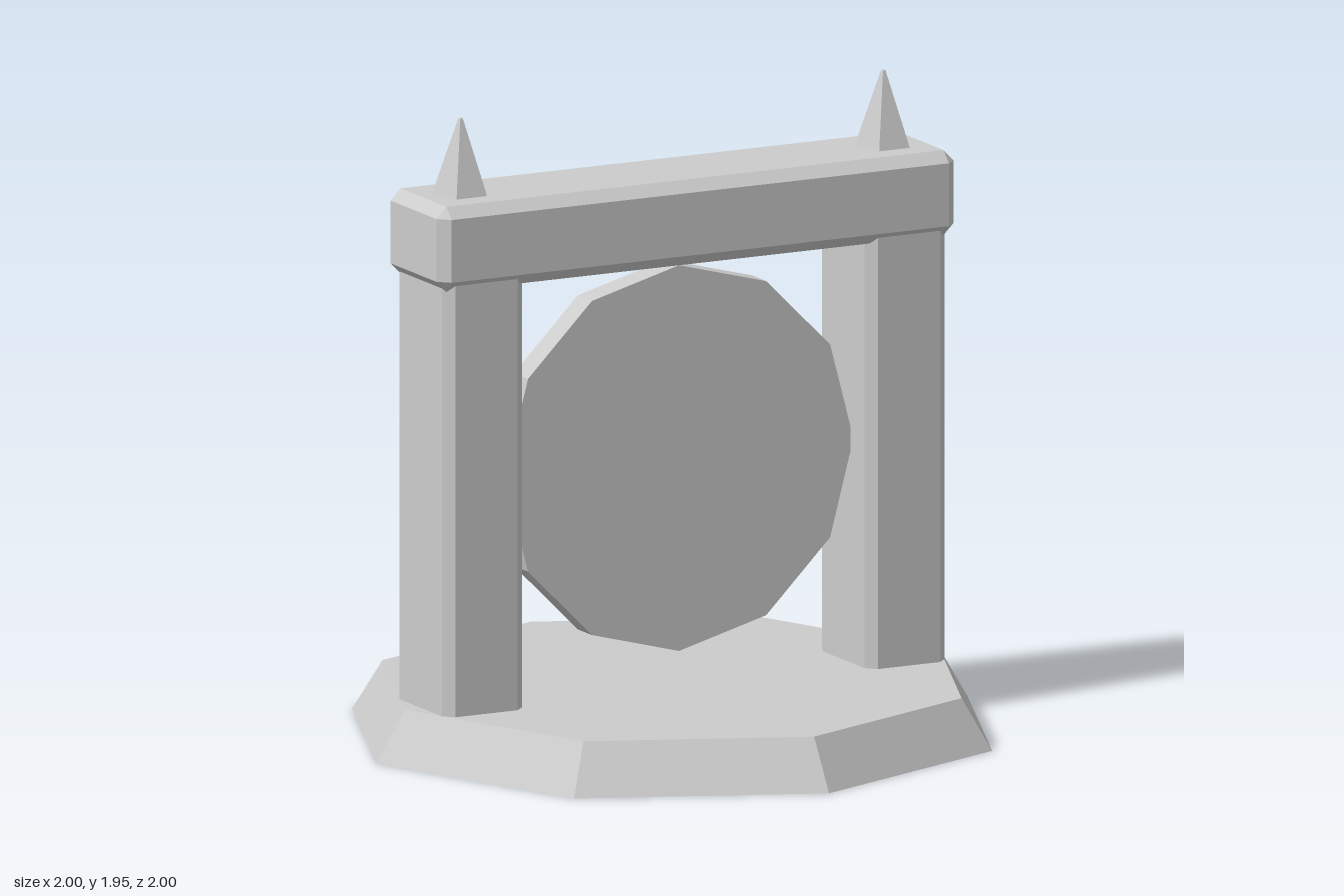
import * as THREE from 'three';
import { ConvexGeometry } from 'three/addons/geometries/ConvexGeometry.js';

const stone = new THREE.MeshStandardMaterial({ color: 0xcccccc, flatShading: true });
stone.name = 'stone';

// Box with every edge and corner cut off flat by c
function chamferedBox(w, h, d, c) {
  const half = [w / 2, h / 2, d / 2];
  const points = [];
  for (const sx of [-1, 1]) for (const sy of [-1, 1]) for (const sz of [-1, 1]) {
    for (let axis = 0; axis < 3; axis++) {
      const p = half.map((v, i) => (i === axis ? v : v - c));
      points.push(new THREE.Vector3(p[0] * sx, p[1] * sy, p[2] * sz));
    }
  }
  return new ConvexGeometry(points);
}

export function createModel() {
  const model = new THREE.Group();
  model.name = 'stoneGateway';

  function add(name, geometry, x, y, z = 0) {
    const mesh = new THREE.Mesh(geometry, stone);
    mesh.name = name;
    mesh.position.set(x, y, z);
    model.add(mesh);
    return mesh;
  }

  // Sloped octagonal plinth
  add('base', new THREE.CylinderGeometry(0.905, 1, 0.155, 8), 0, 0.0775);

  // Pillars run into the plinth and the lintel
  const pillar = chamferedBox(0.27, 1.48, 0.33, 0.03);
  // Five-sided spikes, one corner to the back
  const spike = new THREE.CylinderGeometry(0.007, 0.088, 0.23, 5).rotateY(Math.PI);
  for (const [side, s] of [['left', 1], ['right', -1]]) {
    add(side + 'Pillar', pillar, s * 0.715, 0.84);
    add(side + 'Spike', spike, s * 0.715, 1.83);
  }

  // Crossbeam
  add('lintel', chamferedBox(1.75, 0.26, 0.36, 0.034), 0, 1.585);

  // Twelve-sided disc between the pillars
  const disc = new THREE.CylinderGeometry(0.59, 0.59, 0.09, 12).rotateX(Math.PI / 2);
  add('portalDisc', disc, 0, 0.84);

  return model;
}
